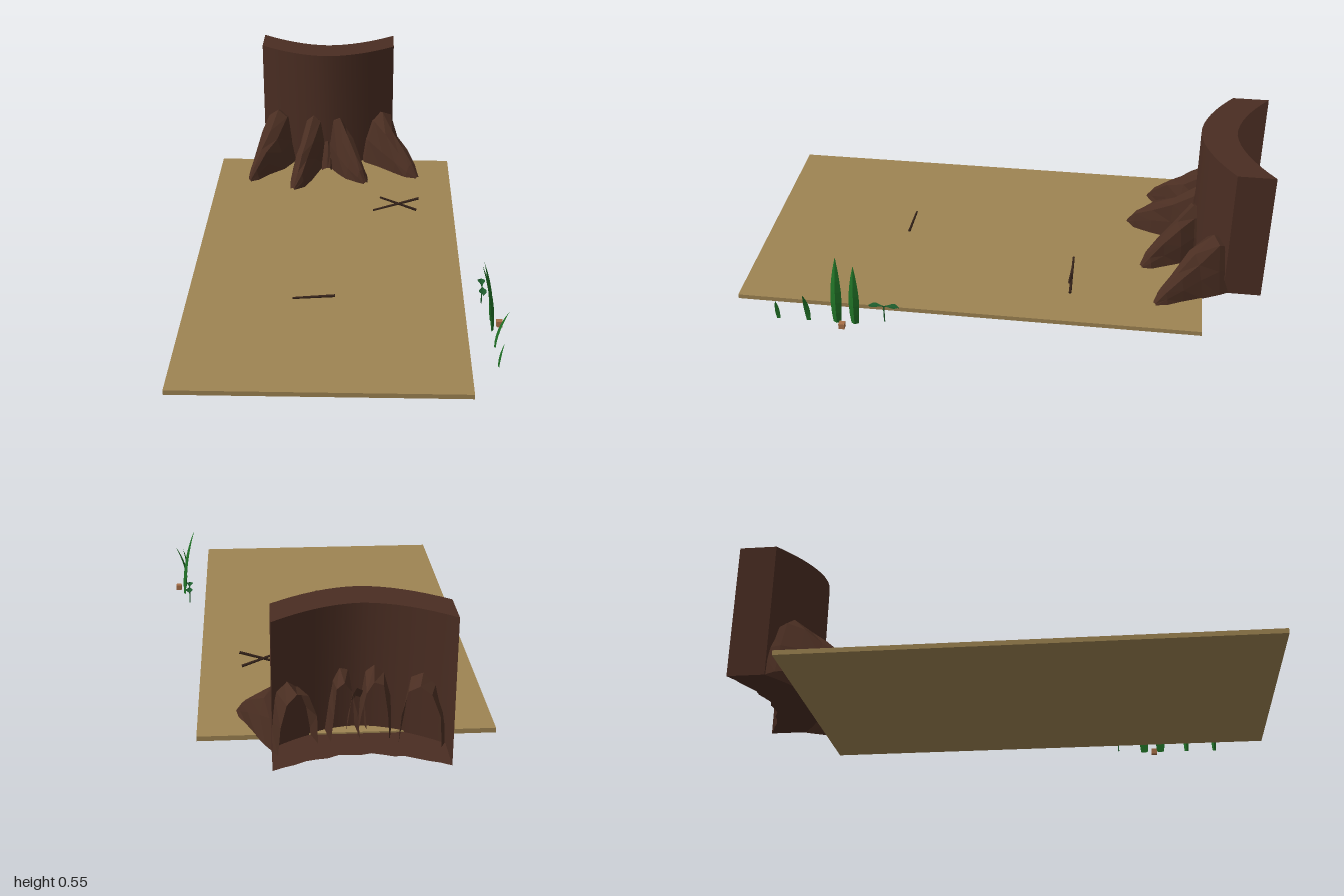
import * as THREE from 'three';

const mat = (name, color, side = THREE.FrontSide, flatShading = false) => {
  const m = new THREE.MeshStandardMaterial({ color, side, flatShading });
  m.name = name;
  return m;
};

// Skin a list of equal-length cross-sections
function loft(rings, closed = false) {
  const n = rings[0].length, pos = rings.flat(2), idx = [];
  for (let i = 0; i < rings.length - 1; i++) {
    for (let j = 0; j < (closed ? n : n - 1); j++) {
      const a = i * n + j, b = i * n + (j + 1) % n;
      idx.push(a, b, a + n, b, b + n, a + n);
    }
  }
  const g = new THREE.BufferGeometry();
  g.setAttribute('position', new THREE.Float32BufferAttribute(pos, 3));
  g.setIndex(idx);
  g.computeVertexNormals();
  return g;
}

export function createModel() {
  const model = new THREE.Group();
  const sand = mat('sand', 0x9e8452);
  const bark = mat('bark', 0x4a2d22, THREE.DoubleSide);
  const rootBark = mat('rootBark', 0x4a2e22, THREE.DoubleSide, true);
  const twig = mat('twig', 0x35231a);
  const grass = mat('grass', 0x1f6f25, THREE.DoubleSide, true);
  const leafGreen = mat('leafGreen', 0x1d5c2c, THREE.DoubleSide, true);
  const clay = mat('clay', 0xa87048);

  const add = (name, geo, m, x = 0, y = 0, z = 0, parent = model) => {
    const mesh = new THREE.Mesh(geo, m);
    mesh.name = name;
    mesh.position.set(x, y, z);
    parent.add(mesh);
    return mesh;
  };

  // Ground slab
  add('ground', new THREE.BoxGeometry(1.035, 0.018, 1.77), sand, -0.0725, 0.009, 0.115);

  // Open-backed trunk: curved front wall, end walls, rim and floor
  const trunk = new THREE.Group();
  trunk.name = 'trunk';
  model.add(trunk);
  const cx = -0.105, half = 0.295, low = 0.012, high = 0.545;
  const arc = (mid, end, wobble = 0) => Array.from({ length: 17 }, (_, i) => {
    const u = i / 8 - 1;
    return [cx + half * u, mid + (end - mid) * Math.pow(Math.abs(u), 1.8)
      + wobble * Math.sin(i * 2.1) * (1 - u * u)];
  });
  const front = arc(-0.725, -0.853);
  const rimBack = arc(-0.862, -0.995);
  const floorBack = arc(-0.907, -0.995, 0.007);
  const level = (pts, y) => pts.map(([x, z]) => [x, y, z]);
  add('trunkFront', loft([level(front, low), level(front, high)]), bark, 0, 0, 0, trunk);
  add('trunkRim', loft([level(front, high), level(rimBack, high)]), bark, 0, 0, 0, trunk);
  add('trunkFloor', loft([level(floorBack, low), level(front, low)]), bark, 0, 0, 0, trunk);
  for (const s of [-1, 1]) {
    const x = cx + s * half;
    const rows = [[[x, low, -0.853], [x, low, -0.995]], [[x, high, -0.853], [x, high, -0.995]]];
    add('trunkEnd', loft(s > 0 ? rows : rows.reverse()), bark, 0, 0, 0, trunk);
  }

  // Arched roots: each step is [x, z, half width, height]
  const arch = [[-1, 0], [-0.86, 0.48], [-0.5, 0.9], [0.05, 1], [0.55, 0.86], [0.8, 0.45], [1, 0]];
  const roots = [
    [[-0.31, -0.86, 0.075, 0.22], [-0.335, -0.78, 0.085, 0.25], [-0.365, -0.7, 0.07, 0.18],
      [-0.4, -0.63, 0.045, 0.12], [-0.43, -0.57, 0.028, 0.06], [-0.446, -0.54, 0.005, 0.01]],
    [[-0.16, -0.82, 0.055, 0.22], [-0.17, -0.73, 0.06, 0.245], [-0.195, -0.65, 0.052, 0.17],
      [-0.215, -0.57, 0.045, 0.125], [-0.23, -0.5, 0.035, 0.07], [-0.25, -0.465, 0.012, 0.01]],
    [[-0.06, -0.82, 0.05, 0.22], [-0.05, -0.72, 0.055, 0.235], [-0.015, -0.66, 0.055, 0.175],
      [0.02, -0.6, 0.045, 0.115], [0.055, -0.555, 0.03, 0.06], [0.07, -0.53, 0.01, 0.01]],
    [[0.1, -0.87, 0.08, 0.21], [0.14, -0.795, 0.085, 0.235], [0.185, -0.73, 0.065, 0.17],
      [0.235, -0.67, 0.05, 0.11], [0.275, -0.62, 0.035, 0.06], [0.303, -0.59, 0.01, 0.01]],
    [[-0.107, -0.76, 0.035, 0.17], [-0.105, -0.71, 0.03, 0.1], [-0.105, -0.66, 0.022, 0.015]],
  ];
  roots.forEach((steps, k) => {
    const rings = steps.map(([x, z, w, h], i) => {
      const a = steps[Math.max(i - 1, 0)], b = steps[Math.min(i + 1, steps.length - 1)];
      const d = new THREE.Vector2(b[0] - a[0], b[1] - a[1]).normalize();
      return arch.map(([u, v], j) => {
        const bump = 1 + 0.07 * Math.sin(i * 2.3 + j * 1.7 + k * 4);
        return [x + d.y * u * w * bump, 0.014 + v * h * (j === 3 ? 1 : bump), z - d.x * u * w * bump];
      });
    });
    add('root', loft(rings), rootBark);
  });

  // Sticks: a crossed pair and a single one
  const stick = (name, x, y, z, len, tilt) => {
    const g = new THREE.CylinderGeometry(0.004, 0.0055, len, 6).rotateZ(Math.PI / 2);
    add(name, g, twig, x, y, z).rotation.z = tilt;
  };
  stick('crossedStick', 0.21, 0.058, -0.267, 0.165, -0.36);
  stick('crossedStick', 0.2, 0.056, -0.264, 0.2, 0.3);
  stick('looseStick', -0.115, 0.026, 0.425, 0.16, 0.08);

  // Grass blades: [base x, z, height, lean, half width]
  const blades = [[0.538, 0.52, 0.24, -0.035, 0.02], [0.538, 0.588, 0.265, -0.048, 0.021],
    [0.537, 0.697, 0.148, 0.043, 0.011], [0.54, 0.813, 0.092, 0.015, 0.009]];
  const bladeWidth = [0.7, 0.9, 1, 0.95, 0.75, 0.45, 0.02];
  for (const [x, z, h, lean, w] of blades) {
    const rings = bladeWidth.map((f, i) => {
      const t = i / (bladeWidth.length - 1), px = x + lean * t * t, y = h * t;
      const s = -Math.sign(lean), ridge = 0.3 * w * f * s;
      return [[px - ridge, y, z - w * f * s], [px + ridge, y, z], [px - ridge, y, z + w * f * s]];
    });
    add('grassBlade', loft(rings.map(r => r.reverse()), true), grass);
  }

  // Sprout with two leaves
  add('sproutStem', new THREE.CylinderGeometry(0.0025, 0.0025, 0.07, 6), leafGreen, 0.511, 0.035, 0.412);
  for (const s of [-1, 1]) {
    const rings = [[0, 0.002], [0.012, 0.004], [0.03, 0.013], [0.043, 0.014], [0.058, 0.001]].map(
      ([d, w]) => [-1, 0, 1].map(u => [u * w, 0.004 * Math.sin(d * 54) + (u ? 0.004 : 0), s * d]));
    add('sproutLeaf', loft(s > 0 ? rings.map(r => r.reverse()).reverse() : rings.reverse()),
      leafGreen, 0.511, 0.068, 0.412);
  }

  // Small clay block
  add('clayBlock', new THREE.BoxGeometry(0.022, 0.022, 0.022), clay, 0.565, 0.011, 0.562);

  return model;
}
